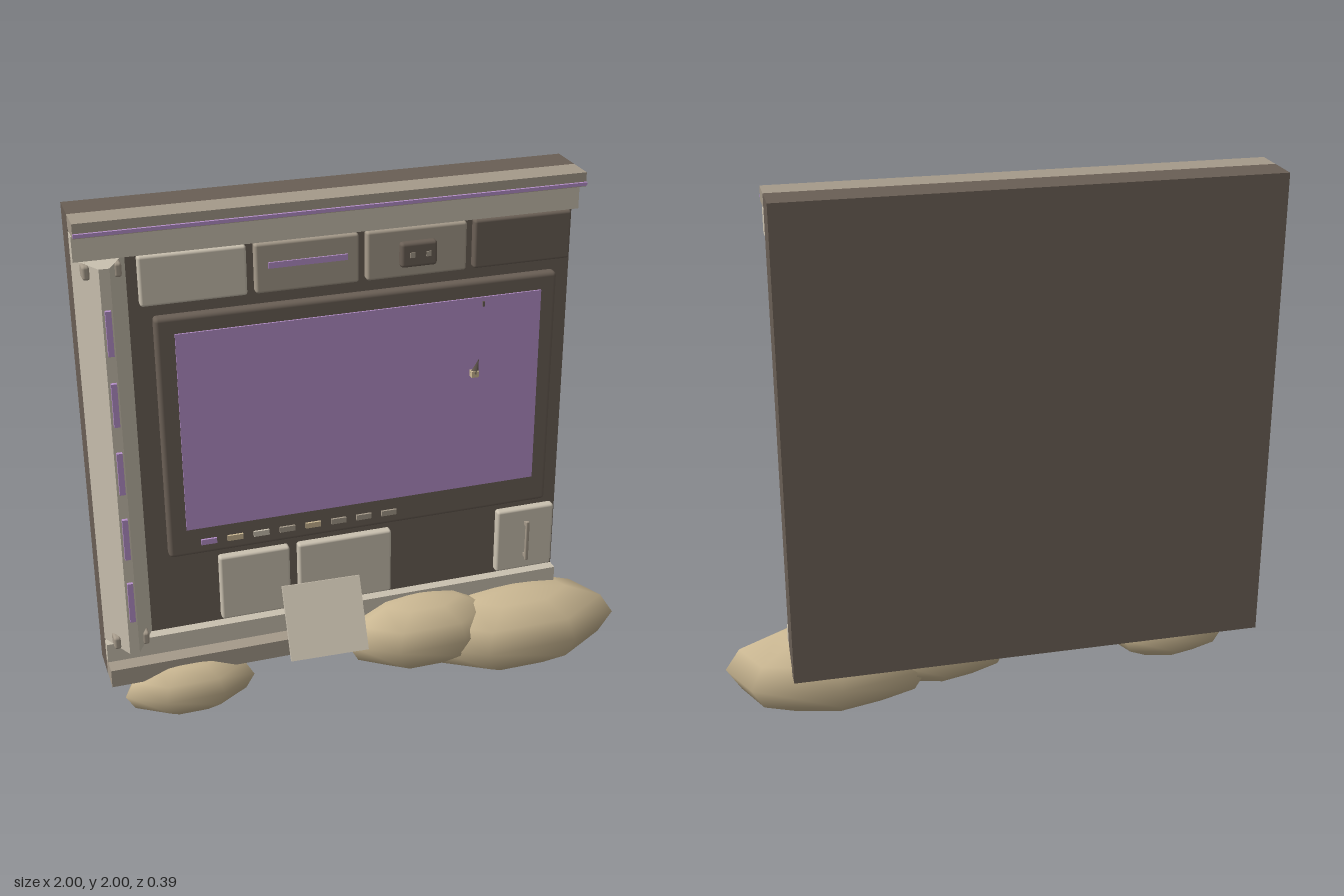
import * as THREE from 'three';
import { RoundedBoxGeometry } from 'three/addons/geometries/RoundedBoxGeometry.js';

const mat = (name, color) => {
  const m = new THREE.MeshStandardMaterial({ color });
  m.name = name;
  return m;
};

export function createModel() {
  const root = new THREE.Group();
  root.name = 'wallConsole';
  const dark = mat('darkBrown', 0x6a5f55);
  const light = mat('paleStone', 0xcac1b0);
  const mid = mat('greyBeige', 0xa59a8a);
  const purple = mat('purple', 0xb690ca);
  const tan = mat('tan', 0xcbb893);

  const add = (name, geometry, material, parent = root) => {
    const m = new THREE.Mesh(geometry, material);
    m.name = name;
    parent.add(m);
    return m;
  };
  // Box given by its extents; r > 0 rounds the edges
  const box = (name, material, x0, x1, y0, y1, z0, z1, r = 0) => {
    const s = [x1 - x0, y1 - y0, z1 - z0];
    const g = r ? new RoundedBoxGeometry(...s, 2, r) : new THREE.BoxGeometry(...s);
    const m = add(name, g, material);
    m.position.set((x0 + x1) / 2, (y0 + y1) / 2, (z0 + z1) / 2);
    return m;
  };

  // Wall slab
  box('wall', dark, -1, 0.77, 0.23, 2, -0.19, -0.06);

  // Upper and lower rails
  box('topLedge', mid, -1, 0.77, 1.95, 2, -0.06, 0.045);
  box('topLightStrip', purple, -1, 0.77, 1.955, 1.967, 0.04, 0.054);
  box('topBeam', light, -1, 0.77, 1.855, 1.942, -0.06, -0.005);
  box('bottomBeam', light, -1, 0.77, 0.305, 0.38, -0.06, -0.02);
  box('bottomLedge', mid, -1, 0.77, 0.235, 0.305, -0.06, 0.04);

  // Bevelled post with light segments and clips
  const profile = new THREE.Shape([
    [-1, 0.06], [-0.825, 0.06], [-0.895, -0.07], [-0.93, -0.07],
  ].map(([x, y]) => new THREE.Vector2(x, y)));
  const post = new THREE.ExtrudeGeometry(profile, { depth: 1.465, bevelEnabled: false });
  post.rotateX(-Math.PI / 2);
  add('post', post, light).position.y = 0.385;
  for (let i = 0; i < 5; i++) {
    const y = 0.525 + i * 0.2565;
    box('postLight', purple, -0.922, -0.902, y, y + 0.158, 0.065, 0.083);
  }
  for (const x of [-0.965, -0.862]) {
    for (const y of [0.385, 1.8]) box('postClip', mid, x - 0.013, x + 0.013, y, y + 0.05, -0.04, 0.03, 0.01);
  }

  // Upper row of panels
  [light, mid, mid, dark].forEach((m, i) => {
    const x = -0.788 + i * 0.394;
    box('upperPanel', m, x, x + 0.366, 1.663, 1.84, -0.07, -0.032, 0.01);
  });
  box('slotLight', purple, -0.35, -0.07, 1.752, 1.773, -0.035, -0.026);
  box('socket', dark, 0.115, 0.248, 1.705, 1.795, -0.04, -0.005, 0.012);
  for (const x of [0.155, 0.214]) box('socketPin', mid, x - 0.009, x + 0.009, 1.742, 1.76, -0.008, -0.001);

  // Display
  box('screenFrame', dark, -0.748, 0.712, 0.695, 1.62, -0.07, -0.022, 0.015);
  box('screen', purple, -0.682, 0.65, 0.805, 1.56, -0.025, -0.016);
  [purple, tan, light, mid, tan, mid, mid, mid].forEach((m, i) => {
    const x = -0.603 + i * 0.0975;
    box('screenButton', m, x - 0.029, x + 0.029, 0.736, 0.757, -0.025, -0.014);
  });
  box('pointerBase', tan, 0.383, 0.41, 1.262, 1.285, -0.018, 0.008);
  const tip = add('pointerTip', new THREE.ConeGeometry(0.016, 0.055, 4), dark);
  tip.position.set(0.405, 1.302, -0.004);
  tip.rotation.z = -0.3;
  box('screenMark', dark, 0.425, 0.432, 1.525, 1.545, -0.018, -0.011);

  // Lower panels and handle
  for (const [x0, x1] of [[-0.565, -0.3], [-0.267, 0.095], [0.525, 0.757]]) {
    box('lowerPanel', light, x0, x1, 0.395, 0.66, -0.07, -0.03, 0.01);
  }
  box('panelHandle', mid, 0.633, 0.648, 0.443, 0.615, -0.015, -0.002, 0.005);
  for (const y of [0.46, 0.598]) box('handleMount', mid, 0.635, 0.646, y - 0.007, y + 0.007, -0.035, -0.01);

  // Leaning tablet
  const tablet = add('leaningTablet', new THREE.BoxGeometry(0.295, 0.28, 0.018), light);
  tablet.position.set(-0.198, 0.392, 0.07);
  tablet.rotation.set(-0.47, -0.05, -0.015);

  // Boulders: [x, y, z, radius x, y, z]
  for (const [x, y, z, a, b, c] of [
    [-0.71, 0.172, 0, 0.25, 0.115, 0.128],
    [0.205, 0.225, 0, 0.312, 0.15, 0.167],
    [0.595, 0.173, 0.01, 0.415, 0.17, 0.203],
  ]) {
    const g = new THREE.SphereGeometry(1, 7, 6, -Math.PI / 2);
    g.scale(a, b, c);
    add('boulder', g, tan).position.set(x, y, z);
  }
  return root;
}
